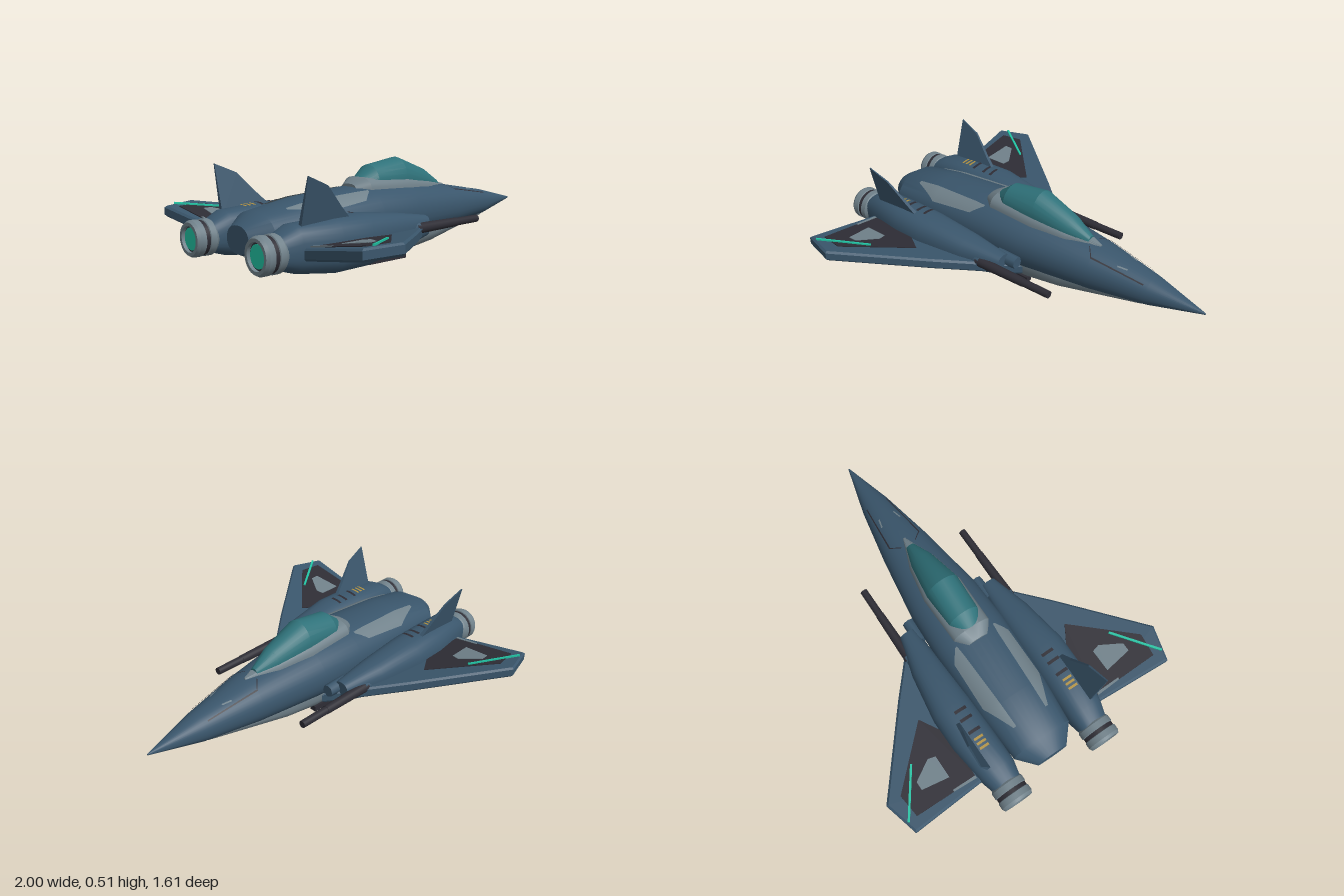
import * as THREE from 'three';
import { toCreasedNormals } from 'three/addons/utils/BufferGeometryUtils.js';

const paint = (name, color) => {
  const m = new THREE.MeshStandardMaterial({ color, side: THREE.DoubleSide });
  m.name = name;
  return m;
};

// Cross-section stations along x: [x, half width, bottom y, top y, centre z]
const FUSELAGE = [[-0.91, 0.085, 0.14, 0.27], [-0.82, 0.165, 0.1, 0.325], [-0.58, 0.187, 0.08, 0.365],
  [-0.2, 0.2, 0.09, 0.39], [0.05, 0.19, 0.09, 0.385], [0.42, 0.135, 0.11, 0.34], [0.72, 0.078, 0.145, 0.285], [1, 0.003, 0.207, 0.215]];
const BELLY = [[-0.32, 0.13, 0.04, 0.2], [-0.2, 0.14, 0.02, 0.23], [0.05, 0.14, 0.025, 0.23], [0.24, 0.125, 0.05, 0.22], [0.69, 0.055, 0.137, 0.2]];
const KEEL = [[-0.78, 0.09, 0.105, 0.2], [-0.6, 0.12, 0.055, 0.2], [-0.28, 0.135, 0.024, 0.2]];
const NACELLE = [[-0.9, 0.075, 0.11, 0.26, 0.262], [-0.82, 0.095, 0.085, 0.3, 0.265], [-0.62, 0.11, 0.06, 0.31, 0.28],
  [-0.45, 0.11, 0.065, 0.31, 0.283], [-0.2, 0.085, 0.1, 0.28, 0.27], [0.01, 0.045, 0.14, 0.245, 0.252]];
const FRAME = [[-0.26, 0.06, 0.3, 0.4], [-0.2, 0.105, 0.28, 0.43], [0.06, 0.11, 0.26, 0.425], [0.25, 0.075, 0.26, 0.39], [0.42, 0.01, 0.27, 0.345]];
const CANOPY = [[-0.2, 0.05, 0.36, 0.43], [-0.13, 0.085, 0.32, 0.485], [0.06, 0.092, 0.3, 0.513], [0.25, 0.062, 0.3, 0.44], [0.36, 0.025, 0.32, 0.372]];

const build = (pos, idx) => {
  const g = new THREE.BufferGeometry();
  g.setAttribute('position', new THREE.Float32BufferAttribute(pos, 3));
  g.setIndex(idx);
  g.computeVertexNormals();
  return g;
};

// Closed body with superelliptic cross-sections of power n
function loft(stations, n = 2.2, seg = 28, crease = 0.5) {
  const pos = [], idx = [], last = (stations.length - 1) * seg;
  const bend = (v) => Math.sign(v) * Math.abs(v) ** (2 / n);
  for (const [x, w, yb, yt, zc = 0] of stations) {
    for (let j = 0; j < seg; j++) {
      const a = (j / seg) * Math.PI * 2;
      pos.push(x, (yb + yt) / 2 + bend(Math.sin(a)) * (yt - yb) / 2, zc + bend(Math.cos(a)) * w);
    }
  }
  for (let j = 0; j < seg; j++) {
    const k = (j + 1) % seg;
    for (let r = 0; r < last; r += seg) idx.push(r + j, r + seg + j, r + k, r + k, r + seg + j, r + seg + k);
    if (j > 0 && k > 0) idx.push(0, j, k, last, last + k, last + j);
  }
  return toCreasedNormals(build(pos, idx), crease);
}

// Thin patch lying on a loft; rows are [x, inner z, outer z], side +1 top or -1 underside
function decal(stations, n, rows, side = 1, sub = 6) {
  const pos = [], idx = [], L = THREE.MathUtils.lerp;
  const steps = (rows.length - 1) * sub;
  for (let i = 0; i <= steps; i++) {
    const r = Math.min(Math.floor(i / sub), rows.length - 2), t = i / sub - r;
    const [x, z0, z1] = rows[r].map((v, c) => L(v, rows[r + 1][c], t));
    let s = 0;
    while (s < stations.length - 2 && stations[s + 1][0] < x) s++;
    const A = stations[s], B = stations[s + 1], u = (x - A[0]) / (B[0] - A[0]);
    const [w, yb, yt, zc] = [1, 2, 3, 4].map((c) => L(A[c] ?? 0, B[c] ?? 0, u));
    for (let j = 0; j <= sub; j++) {
      const d = L(z0, z1, j / sub) - zc;
      const h = Math.max(0, 1 - Math.abs(d / w) ** n) ** (1 / n);
      pos.push(x, (yb + yt) / 2 + side * (h * (yt - yb) / 2 + 0.005), zc + d * 1.02);
      if (i < steps && j < sub) {
        const a = i * (sub + 1) + j, b = a + sub + 1;
        if (side > 0) idx.push(a, a + 1, b, b, a + 1, b + 1);
        else idx.push(a, b, a + 1, b, b + 1, a + 1);
      }
    }
  }
  return build(pos, idx);
}

// Height of the wing's middle plane, and a plate that follows it from [x, z] corners
const wingY = (z) => 0.19 + (z - 0.43) * 0.16;
function wingPlate(points, offset, depth, bevel = 0) {
  const g = new THREE.ExtrudeGeometry(new THREE.Shape(points.map((p) => new THREE.Vector2(...p))), {
    depth: depth - 2 * bevel, bevelEnabled: bevel > 0, bevelThickness: bevel, bevelSize: bevel, bevelOffset: -bevel, bevelSegments: 1 });
  g.rotateX(Math.PI / 2).translate(0, depth / 2 - bevel + offset, 0);
  const p = g.attributes.position;
  for (let i = 0; i < p.count; i++) p.setY(i, p.getY(i) + wingY(p.getZ(i)));
  g.computeVertexNormals();
  return g;
}

// Round part along x
const rod = (x0, x1, r0, r1, y, z, seg = 20) =>
  new THREE.CylinderGeometry(r1, r0, x1 - x0, seg).rotateZ(-Math.PI / 2).translate((x0 + x1) / 2, y, z);
const box = (x, y, z, w, h, d) => new THREE.BoxGeometry(w, h, d).translate(x, y, z);

export function createModel() {
  const model = new THREE.Group();
  model.name = 'starfighter';
  const blue = paint('hullBlue', 0x3a566c), grey = paint('panelGrey', 0x70818a), dark = paint('darkMetal', 0x2e2d35);
  const glass = paint('canopyTeal', 0x2f727a), glow = paint('glowTeal', 0x22c4a4), gold = paint('gold', 0xb0903f);

  const add = (name, geo, mat) => {
    const mesh = new THREE.Mesh(geo, mat);
    mesh.name = name;
    model.add(mesh);
  };
  // Adds a part and its reflection across z = 0
  const pair = (name, geo, mat) => {
    add(name + 'Near', geo, mat);
    const m = geo.clone().scale(1, 1, -1);
    const order = m.index ? Array.from(m.index.array) : Array.from({ length: m.attributes.position.count }, (_, i) => i);
    m.setIndex(order.reverse());
    add(name + 'Far', m, mat);
  };

  // Body
  add('fuselage', loft(FUSELAGE, 2.2, 36), blue);
  add('belly', loft(BELLY, 2.6), grey);
  add('rearKeel', loft(KEEL, 2.8), blue);
  add('canopyFrame', loft(FRAME, 3, 24), grey);
  add('canopy', loft(CANOPY, 2, 24, 0.35), glass);
  pair('spinePanel', decal(FUSELAGE, 2.2, [[-0.71, 0.085, 0.1], [-0.55, 0.09, 0.165], [-0.29, 0.1, 0.16], [-0.23, 0.105, 0.115]]), grey);
  pair('noseSeam', decal(FUSELAGE, 2.2, [[0.38, 0.04, 0.046], [0.42, 0.085, 0.092], [0.7, 0.058, 0.063]]), dark);
  pair('noseMark', decal(FUSELAGE, 2.2, [[0.55, 0.052, 0.06], [0.6, 0.04, 0.048]]), grey);

  // Underside bay with ribs and rails
  add('bayPanel', decal(KEEL, 2.8, [[-0.68, -0.05, 0.05], [-0.56, -0.09, 0.09], [-0.3, -0.1, 0.1]], -1), dark);
  for (let i = 0; i < 6; i++) {
    const x = -0.48 + i * 0.045;
    add('bayRib', box(x, 0.037 - i * 0.004, 0, 0.018, 0.03, 0.1), i % 2 ? grey : blue);
  }
  pair('bellyRail', box(-0.09, 0.015, 0.085, 0.26, 0.03, 0.035), dark);

  // Engine nacelles
  pair('nacelle', loft(NACELLE, 2.6), blue);
  pair('nacelleStub', rod(-0.06, 0.065, 0.038, 0.032, 0.2, 0.212, 8), blue);
  for (const x of [-0.61, -0.54, -0.49])
    pair('nacelleVent', decal(NACELLE, 2.6, [[x - 0.008, 0.23, 0.295], [x + 0.008, 0.23, 0.295]]), dark);
  for (const x of [-0.7, -0.675, -0.65])
    pair('goldMark', decal(NACELLE, 2.6, [[x - 0.006, 0.24, 0.29], [x + 0.006, 0.24, 0.29]]), gold);
  pair('underglow', decal(NACELLE, 2.6, [[-0.58, 0.285, 0.295], [-0.4, 0.285, 0.295]], -1), glow);

  // Nozzles
  const profile = [[0.062, -0.95], [0.062, -1], [0.078, -1], [0.087, -0.985], [0.087, -0.955], [0.078, -0.95],
    [0.078, -0.935], [0.087, -0.93], [0.087, -0.9], [0.07, -0.87]].map((p) => new THREE.Vector2(...p));
  const shell = toCreasedNormals(new THREE.LatheGeometry(profile, 28), 0.5);
  pair('nozzle', shell.rotateZ(-Math.PI / 2).translate(0, 0.183, 0.264), grey);
  pair('nozzleBand', rod(-0.957, -0.928, 0.082, 0.082, 0.183, 0.264, 28), dark);
  pair('nozzleCore', rod(-0.983, -0.93, 0.063, 0.063, 0.183, 0.264, 28), dark);
  pair('thrusterGlow', rod(-0.989, -0.98, 0.053, 0.053, 0.183, 0.264, 28), glow);

  // Cannons
  pair('cannonMount', rod(-0.2, -0.09, 0.03, 0.036, 0.195, 0.305, 8), blue);
  pair('cannonSleeve', rod(-0.11, 0.18, 0.027, 0.022, 0.196, 0.313), dark);
  pair('cannonBarrel', rod(0.18, 0.34, 0.02, 0.019, 0.196, 0.313), dark);

  // Wings with inset panels on both faces
  pair('wing', wingPlate([[0.08, 0.19], [-0.1, 0.345], [-0.26, 0.48], [-0.67, 0.805], [-0.85, 0.755], [-0.82, 0.36], [-0.78, 0.19]], 0, 0.056, 0.01), blue);
  for (const [side, label] of [[1, 'Top'], [-1, 'Bottom']]) {
    pair('wingPanel' + label, wingPlate([[-0.4, 0.45], [-0.67, 0.725], [-0.79, 0.71], [-0.79, 0.37], [-0.53, 0.37]], side * 0.029, 0.006), dark);
    pair('wingInset' + label, wingPlate([[-0.59, 0.52], [-0.655, 0.625], [-0.7, 0.625], [-0.72, 0.48], [-0.6, 0.48]], side * 0.032, 0.006), grey);
  }
  pair('wingFlapStrip', wingPlate([[-0.78, 0.37], [-0.78, 0.5], [-0.79, 0.5], [-0.795, 0.37]], 0.032, 0.006), grey);
  pair('wingLight', wingPlate([[-0.565, 0.605], [-0.79, 0.762], [-0.796, 0.753], [-0.571, 0.596]], 0.035, 0.009), glow);

  // Canted tail fins
  const finShape = new THREE.Shape([[-0.8, 0.27], [-0.5, 0.27], [-0.59, 0.36], [-0.68, 0.46], [-0.795, 0.51]].map((p) => new THREE.Vector2(...p)));
  const fin = new THREE.ExtrudeGeometry(finShape, { depth: 0.02, bevelEnabled: false });
  const fp = fin.attributes.position;
  for (let i = 0; i < fp.count; i++) {
    const up = fp.getY(i) - 0.31;
    fp.setZ(i, 0.31 + up * 0.25 + (fp.getZ(i) - 0.01) * (1 - up * 3.5));
  }
  fin.computeVertexNormals();
  pair('tailFin', fin, blue);

  return model;
}
